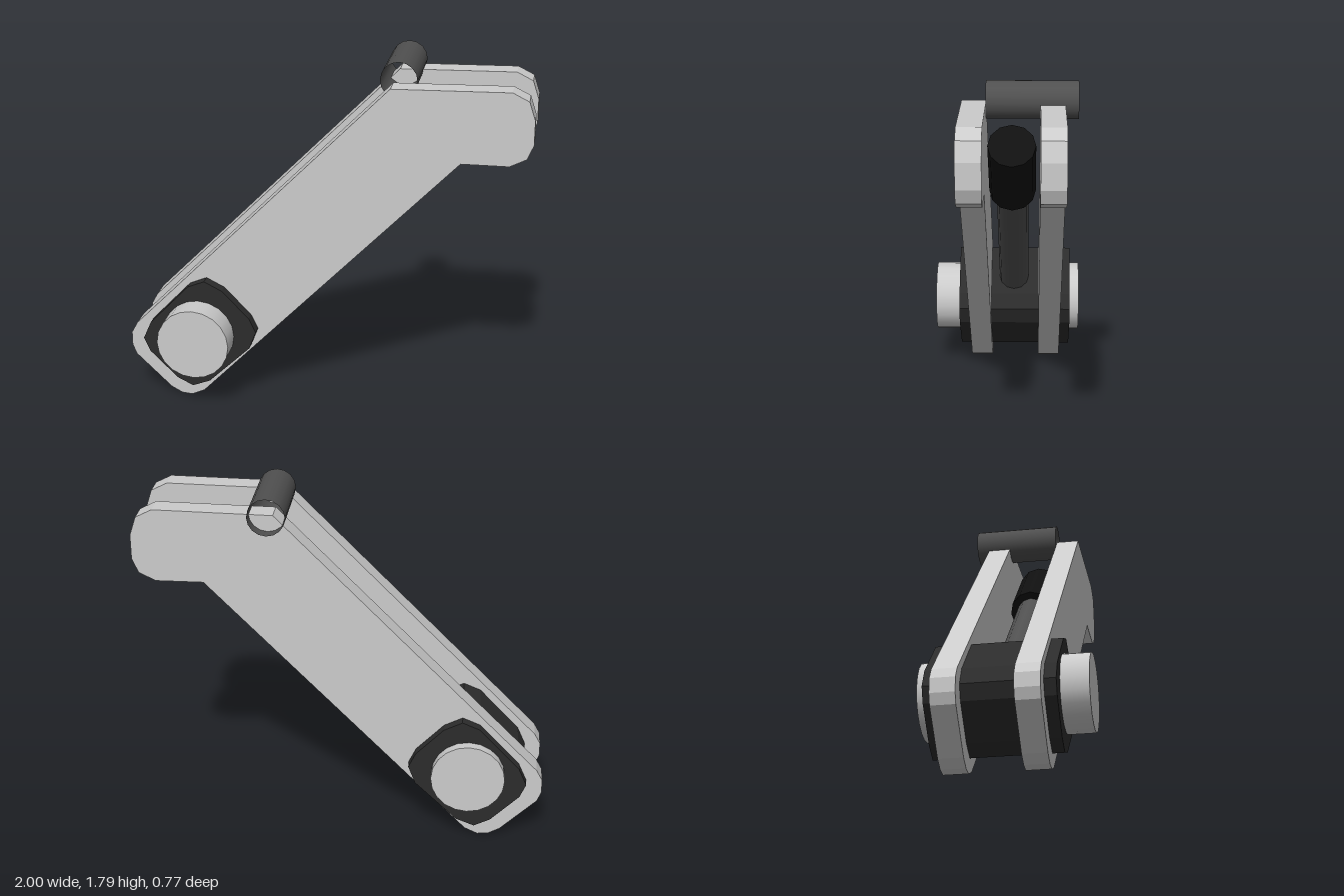
import * as THREE from 'three';

const material = (color, side = THREE.FrontSide) =>
  new THREE.MeshStandardMaterial({ color, side });

// Flat part cut from an outline in the xy plane, spanning z0 to z1
function slab(name, outline, z0, z1, mat) {
  const shape = new THREE.Shape(outline.map(([x, y]) => new THREE.Vector2(x, y)));
  const geometry = new THREE.ExtrudeGeometry(shape, { depth: z1 - z0, bevelEnabled: false });
  geometry.translate(0, 0, z0);
  const mesh = new THREE.Mesh(geometry, mat);
  mesh.name = name;
  return mesh;
}

// Cylinder running between two points
function rod(name, from, to, radius, sides, mat, open = false) {
  const a = new THREE.Vector3(...from);
  const b = new THREE.Vector3(...to);
  const axis = b.clone().sub(a);
  const mesh = new THREE.Mesh(
    new THREE.CylinderGeometry(radius, radius, axis.length(), sides, 1, open), mat);
  mesh.position.copy(a).add(b).multiplyScalar(0.5);
  mesh.quaternion.setFromUnitVectors(new THREE.Vector3(0, 1, 0), axis.normalize());
  mesh.name = name;
  return mesh;
}

export function createModel() {
  const model = new THREE.Group();
  model.name = 'linkArm';

  const grey = material(0xcccccc);
  const black = material(0x2c2c2c);

  // Pair of bent side plates
  const plate = [
    [-0.69, 0], [-0.625, 0.03], [0.66, 1.34], [0.89, 1.34], [0.97, 1.38], [1, 1.45],
    [1, 1.57], [0.97, 1.66], [0.89, 1.7], [0.32, 1.69], [-0.97, 0.385], [-1, 0.33],
    [-1, 0.26], [-0.98, 0.21], [-0.8, 0.035], [-0.745, 0.005],
  ];
  model.add(slab('frontPlate', plate, 0.085, 0.2, grey));
  model.add(slab('backPlate', plate, -0.283, -0.168, grey));

  // Pivot block passing through both plates
  const block = [
    [-0.67, 0.08], [-0.58, 0.115], [-0.37, 0.315], [-0.335, 0.405], [-0.37, 0.48],
    [-0.505, 0.62], [-0.595, 0.665], [-0.68, 0.63], [-0.88, 0.42], [-0.92, 0.33],
    [-0.89, 0.26], [-0.75, 0.12],
  ];
  model.add(slab('pivotBlock', block, -0.335, 0.255, black));

  // Pivot pin
  model.add(rod('pivotPin', [-0.63, 0.375, -0.385], [-0.63, 0.375, 0.385], 0.182, 20, grey));

  // Piston rod and its thicker head, lying between the plates
  model.add(rod('pistonRod', [-0.447, 0.553, -0.037], [0.25, 1.254, -0.037], 0.077, 12,
    material(0x505050)));
  model.add(rod('pistonHead', [0.223, 1.228, -0.037], [0.517, 1.522, -0.037], 0.112, 12,
    material(0x101010)));

  // Open cross tube resting on the upper bend
  model.add(rod('crossTube', [0.345, 1.7, -0.345], [0.345, 1.7, 0.085], 0.09, 16,
    material(0x505050, THREE.DoubleSide), true));

  return model;
}
